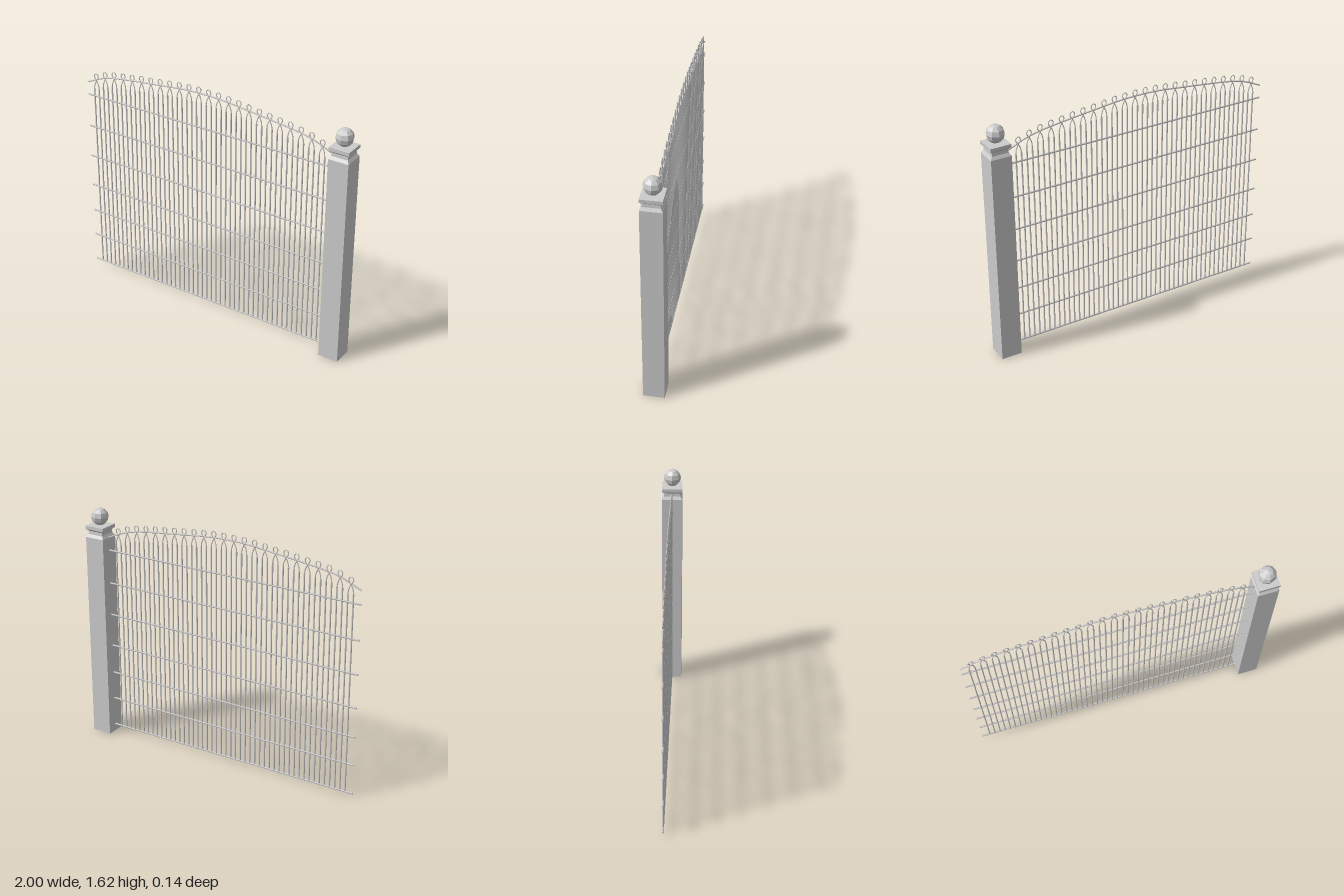
import * as THREE from 'three';

const material = new THREE.MeshStandardMaterial({ color: 0xcccccc });
const flat = new THREE.MeshStandardMaterial({ color: 0xcccccc, flatShading: true });
const V = (x, y, z = 0) => new THREE.Vector3(x, y, z);

const MID = -0.07;        // centre line of the arch
const LEFT = -1, RIGHT = 0.865;

function add(parent, name, geometry, mat = material) {
  const mesh = new THREE.Mesh(geometry, mat);
  mesh.name = name;
  parent.add(mesh);
  return mesh;
}

// Height of the arch by distance from its centre line
const archHalf = [[0, 1.58], [0.15, 1.575], [0.3, 1.559], [0.5, 1.537], [0.7, 1.51], [0.8, 1.486], [0.935, 1.43]];
function archHeight(x) {
  const d = Math.abs(x - MID);
  let i = 1;
  while (i < archHalf.length - 1 && d > archHalf[i][0]) i++;
  const [d0, y0] = archHalf[i - 1], [d1, y1] = archHalf[i];
  return THREE.MathUtils.mapLinear(d, d0, d1, y0, y1);
}

function buildPost() {
  const post = new THREE.Group();
  post.name = 'gatePost';
  post.position.x = 0.931;

  // Square shaft, neck and cap as a four-sided turned profile
  const profile = [[0, 0], [0.069, 0], [0.069, 1.43], [0.056, 1.45], [0.054, 1.472],
    [0.069, 1.485], [0.069, 1.508], [0, 1.508]];
  const points = profile.map(([half, y]) => new THREE.Vector2(half * Math.SQRT2, y));
  const shaft = new THREE.LatheGeometry(points, 4);
  shaft.rotateY(Math.PI / 4);
  add(post, 'postShaft', shaft, flat);

  // Ball on top
  add(post, 'postBall', new THREE.SphereGeometry(0.059, 8, 6), flat).position.y = 1.566;
  return post;
}

function buildFence() {
  const fence = new THREE.Group();
  fence.name = 'fencePanel';

  // Horizontal rails
  const railGeometry = new THREE.CylinderGeometry(0.006, 0.006, RIGHT - LEFT, 6);
  railGeometry.rotateZ(Math.PI / 2);
  for (const y of [0.05, 0.253, 0.45, 0.653, 0.88, 1.108, 1.342]) {
    add(fence, 'rail', railGeometry).position.set((LEFT + RIGHT) / 2, y, 0);
  }

  // Arched top rail
  const left = archHalf.slice(1).reverse().map(([d, y]) => V(MID - d, y));
  const right = archHalf.map(([d, y]) => V(MID + d, y));
  const arch = new THREE.CatmullRomCurve3([...left, ...right]);
  left[0].x = LEFT;
  add(fence, 'archRail', new THREE.TubeGeometry(arch, 48, 0.005, 6));

  // Bent top of each picket pair: legs cross at the arch and close in a loop
  const half = [[-0.0187, -0.09], [-0.0165, -0.069], [-0.004, -0.036], [0.009, -0.017], [0.016, 0], [0.011, 0.015]];
  const rise = half.map(([x, y]) => V(x, y));
  const fall = half.map(([x, y]) => V(-x, y)).reverse();
  const loop = new THREE.CatmullRomCurve3([...rise, V(0, 0.02), ...fall]);
  const loopGeometry = new THREE.TubeGeometry(loop, 36, 0.0035, 5);

  // Picket pairs
  const foot = 0.045;
  for (let i = 0; i < 24; i++) {
    const x = -0.927 + i * 0.0744;
    const pair = new THREE.Group();
    pair.name = 'picketPair';
    pair.position.x = x;
    fence.add(pair);

    const centre = archHeight(x) + 0.022;
    const length = centre - 0.088 - foot;
    const legGeometry = new THREE.CylinderGeometry(0.005, 0.005, length, 6);
    for (const side of [-1, 1]) {
      add(pair, 'picket', legGeometry).position.set(side * 0.0187, foot + length / 2, 0);
    }
    add(pair, 'picketLoop', loopGeometry).position.y = centre;
  }
  return fence;
}

export function createModel() {
  const model = new THREE.Group();
  model.name = 'fenceWithPost';
  model.add(buildPost(), buildFence());
  return model;
}
